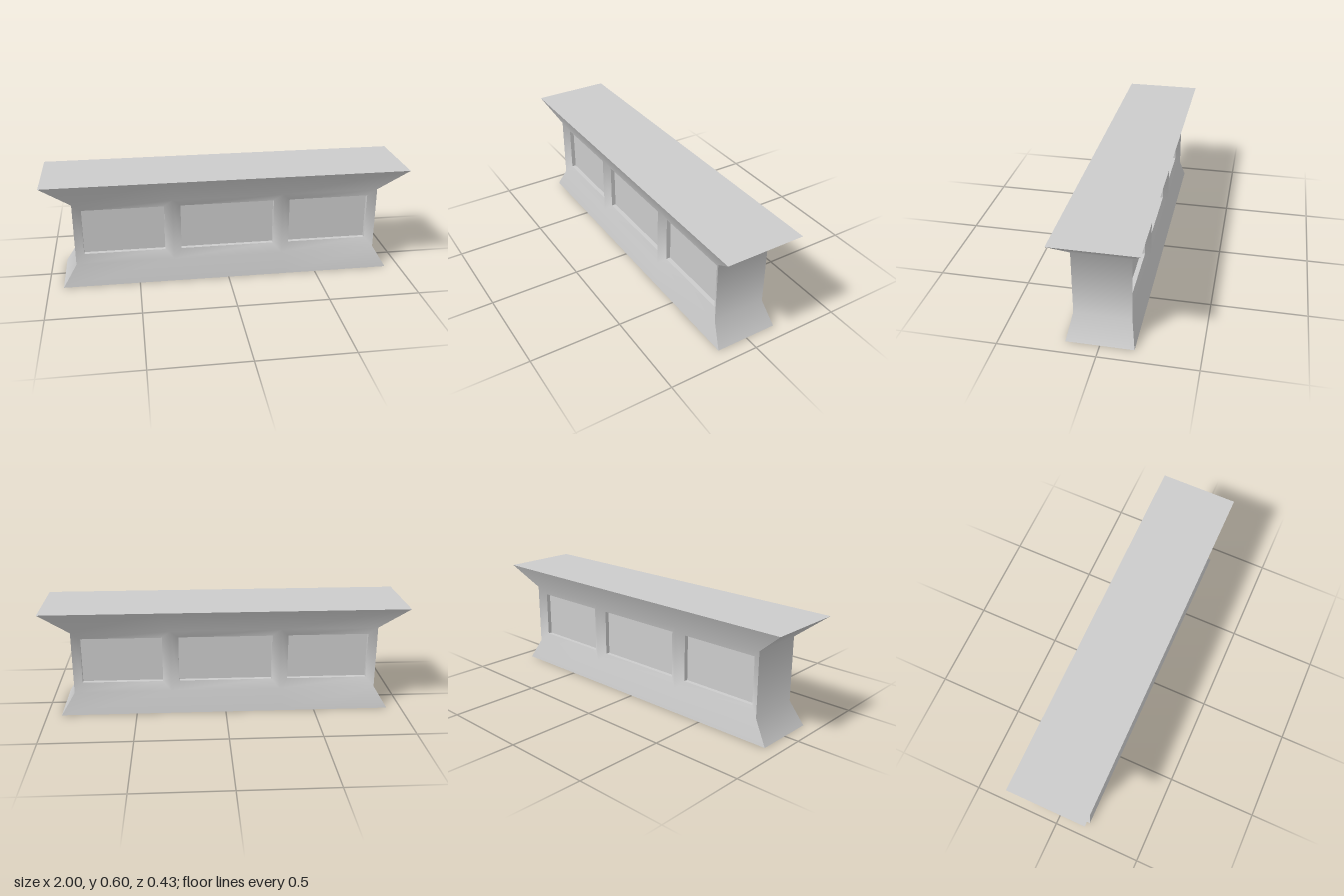
import * as THREE from 'three';
import { mergeGeometries } from 'three/addons/utils/BufferGeometryUtils.js';

// Flared outline from bottom to top: half width, height, half depth
const LEVELS = [[0.92, 0, 0.173], [0.843, 0.125, 0.148], [0.843, 0.478, 0.148], [1, 0.604, 0.216]];
// Bay divisions as a share of the half width
const BAYS = [-1, -0.362, 0.362, 1];
// Each bay slopes in by INSET to a rim, then drops straight to the panel
const INSET = 0.045, RIM_Z = 0.121, PANEL_Z = 0.097;

const material = new THREE.MeshStandardMaterial({ color: 0xcccccc });

// Corners run counter-clockwise as seen from outside
function quad(a, b, c, d) {
  const g = new THREE.BufferGeometry();
  g.setAttribute('position', new THREE.Float32BufferAttribute([...a, ...b, ...c, ...d], 3));
  g.setIndex([0, 1, 2, 0, 2, 3]);
  g.computeVertexNormals();
  return g;
}

// Join quads and average their normals wherever corners meet
function smooth(quads) {
  const g = mergeGeometries(quads);
  const { position, normal } = g.attributes;
  const sums = new Map();
  const key = (i) => [position.getX(i), position.getY(i), position.getZ(i)].map((v) => Math.round(v * 1e4)).join();
  const v = new THREE.Vector3();
  for (let i = 0; i < position.count; i++) {
    if (!sums.has(key(i))) sums.set(key(i), new THREE.Vector3());
    sums.get(key(i)).add(v.fromBufferAttribute(normal, i));
  }
  for (let i = 0; i < position.count; i++) {
    v.copy(sums.get(key(i))).normalize();
    normal.setXYZ(i, v.x, v.y, v.z);
  }
  return g;
}

function add(group, name, geometry) {
  const mesh = new THREE.Mesh(geometry, material);
  mesh.name = name;
  group.add(mesh);
}

// Corners of one bay between two outline levels
function bayCorners(bay, level) {
  const point = (side, [hx, y, hz]) => [BAYS[bay + side] * hx, y, hz];
  const low = LEVELS[level], high = LEVELS[level + 1];
  return [point(0, low), point(1, low), point(1, high), point(0, high)];
}

// Opening of one bay, pulled in from its edges
function openingCorners(bay, z) {
  return bayCorners(bay, 1).map(([x, y], i) => [
    x + (i === 0 || i === 3 ? INSET : -INSET),
    y + (i < 2 ? INSET + 0.004 : -INSET),
    z,
  ]);
}

// Four quads joining an outer loop to an inner one
function ring(outer, inner) {
  return outer.map((c, i) => quad(c, outer[(i + 1) % 4], inner[(i + 1) % 4], inner[i]));
}

// Plinth slope, bevelled bay surrounds and cornice slope
function longFace() {
  return smooth([0, 1, 2].flatMap((bay) => [
    quad(...bayCorners(bay, 0)),
    ...ring(bayCorners(bay, 1), openingCorners(bay, RIM_Z)),
    quad(...bayCorners(bay, 2)),
  ]));
}

// Sunken panel: back face and four reveals
function panel(bay) {
  const back = openingCorners(bay, PANEL_Z);
  return mergeGeometries([quad(...back), ...ring(openingCorners(bay, RIM_Z), back)]);
}

// One band of the short end
function endBand(i) {
  const [x0, y0, z0] = LEVELS[i], [x1, y1, z1] = LEVELS[i + 1];
  return quad([x0, y0, z0], [x0, y0, -z0], [x1, y1, -z1], [x1, y1, z1]);
}

export function createModel() {
  const model = new THREE.Group();
  model.name = 'counter';

  // Both halves are the same, turned half way round
  for (const name of ['front', 'back']) {
    const half = new THREE.Group();
    half.name = name + 'Half';
    add(half, name + 'Face', longFace());
    add(half, name === 'front' ? 'leftEnd' : 'rightEnd', smooth([0, 1, 2].map(endBand)));
    for (let bay = 0; bay < 3; bay++) add(half, `${name}Panel${bay + 1}`, panel(bay));
    if (name === 'back') half.rotation.y = Math.PI;
    model.add(half);
  }

  // Flat top and underside
  const [bx, by, bz] = LEVELS[0], [tx, ty, tz] = LEVELS[3];
  add(model, 'top', quad([-tx, ty, tz], [tx, ty, tz], [tx, ty, -tz], [-tx, ty, -tz]));
  add(model, 'underside', quad([-bx, by, -bz], [bx, by, -bz], [bx, by, bz], [-bx, by, bz]));
  return model;
}
